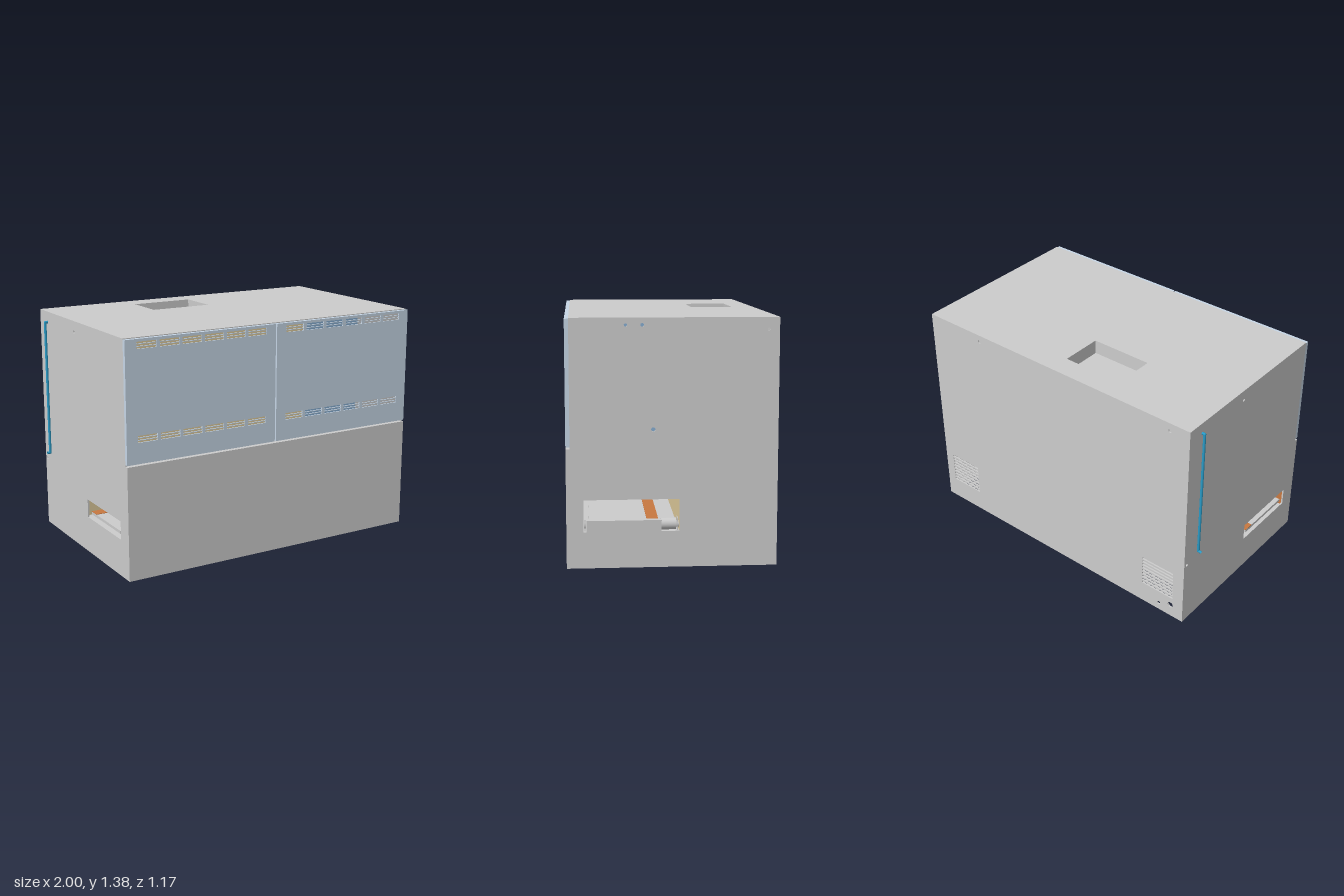
import * as THREE from 'three';

const material = (color) => new THREE.MeshStandardMaterial({ color, side: THREE.DoubleSide });
const grey = material(0xcccccc), blue = material(0xc6d6e6), deepBlue = material(0x85acd0);
const tan = material(0xe0cc9c), orange = material(0xc87840), cyan = material(0x2a9cc8);

// Body limits
const X0 = -0.965, X1 = 0.975, Z0 = -0.585, Z1 = 0.585, H = 1.385, T = 0.01;

function add(parent, name, geometry, mat = grey) {
  const mesh = new THREE.Mesh(geometry, mat);
  mesh.name = name;
  parent.add(mesh);
  return mesh;
}

// Box given by its limits
function box(parent, name, x0, x1, y0, y1, z0, z1, mat) {
  const m = add(parent, name, new THREE.BoxGeometry(x1 - x0, y1 - y0, z1 - z0), mat);
  m.position.set((x0 + x1) / 2, (y0 + y1) / 2, (z0 + z1) / 2);
  return m;
}

const outline = (pts) => new THREE.Shape(pts.map(([x, y]) => new THREE.Vector2(x, y)));
const rect = (x0, x1, y0, y1) => outline([[x0, y0], [x1, y0], [x1, y1], [x0, y1]]);
const hole = (x, y, r) => new THREE.Path().absarc(x, y, r, 0, Math.PI * 2, true);

// Sheet with cut-outs, extruded from its plane
function sheet(parent, name, shape, holes, depth = T, mat = grey) {
  shape.holes.push(...holes);
  return add(parent, name, new THREE.ExtrudeGeometry(shape, { depth, bevelEnabled: false, curveSegments: 10 }), mat);
}

const sideOutline = () => outline([[Z0, 0], [Z1, 0], [Z1, 0.67], [0.562, 0.67], [0.562, H], [Z0, H]]);

function buildCabinet(g) {
  // Side walls: local x runs along z
  const right = sheet(g, 'leftSideWall', sideOutline(), [
    outline([[-0.04, 0.205], [0.06, 0.205], [0.06, 0.27], [0.475, 0.27], [0.475, 0.205],
      [0.49, 0.205], [0.49, 0.385], [-0.04, 0.385]]),
    hole(0.255, 1.345, 0.009), hole(0.165, 1.345, 0.01), hole(0.105, 0.775, 0.012), hole(-0.525, 1.32, 0.008),
  ]);
  right.rotation.y = -Math.PI / 2;
  right.position.x = X1;
  const left = sheet(g, 'rightSideWall', sideOutline(), [
    rect(0.04, 0.485, 0.22, 0.33), hole(-0.08, 1.32, 0.009), hole(-0.56, 0.435, 0.009),
  ]);
  left.rotation.y = -Math.PI / 2;
  left.position.x = X0 + T;

  // Back wall with two louvre fields and cable holes
  const backHoles = [hole(0.578, 1.34, 0.011), hole(-0.833, 1.335, 0.011),
    hole(-0.791, 0.05, 0.012), hole(-0.877, 0.085, 0.019)];
  for (const x of [0.688, -0.89]) {
    for (let i = 0; i < 9; i++) backHoles.push(rect(x, x + 0.226, 0.14 + i * 0.0235, 0.153 + i * 0.0235));
  }
  sheet(g, 'backWall', rect(X0 + T, X1 - T, 0, H), backHoles).position.z = Z0;

  // Top with sunken tray
  const top = sheet(g, 'topPanel', rect(X0 + T, X1 - T, Z0 + T, 0.562), [rect(-0.38, 0.005, -0.45, -0.195)]);
  top.rotation.x = Math.PI / 2;
  top.position.y = H;
  const tray = new THREE.Group();
  tray.name = 'topTray';
  g.add(tray);
  const low = H - 0.085, high = H - 0.001;
  box(tray, 'trayFloor', -0.385, 0.01, low - 0.005, low, -0.455, -0.19);
  for (const x of [-0.385, 0.005]) box(tray, 'trayEnd', x, x + 0.005, low, high, -0.455, -0.19);
  for (const z of [-0.455, -0.195]) box(tray, 'traySide', -0.38, 0.005, low, high, z, z + 0.005);

  // Lower front, its ledge, and the base that stops short of the back
  box(g, 'lowerFrontPanel', X0 + T, X1 - T, 0, 0.67, Z1 - T, Z1);
  box(g, 'frontLedge', X0 + T, X1 - T, 0.66, 0.67, 0.5, Z1 - T);
  box(g, 'basePlate', X0 + T, X1 - T, 0, T, -0.355, Z1 - T);
  const inner = sheet(g, 'rearPartition', rect(X0 + T, X1 - T, T, 1.25), [rect(-0.95, -0.81, 0.08, 0.17)], 0.006);
  inner.position.z = -0.355;
}

function buildDoor(g, name, x0, x1, slotStart, backing) {
  const door = new THREE.Group();
  door.name = name;
  g.add(door);
  const y0 = 0.68, y1 = 1.38, slots = [];
  // Two rows of six groups of three slots
  for (const y of [0.802, 1.325]) {
    for (let c = 0; c < 6; c++) {
      for (let r = 0; r < 3; r++) {
        const x = slotStart + c * 0.142, sy = y + r * 0.0145;
        slots.push(rect(x, x + 0.122, sy, sy + 0.0105));
      }
    }
  }
  sheet(door, name + 'Skin', rect(x0, x1, y0, y1), slots, 0.008, blue).position.z = Z1 - 0.008;
  sheet(door, name + 'Rim', rect(x0, x1, y0, y1), [rect(x0 + 0.01, x1 - 0.01, y0 + 0.01, y1 - 0.01)],
    0.015, blue).position.z = 0.562;
  // Inner liner seen through the slots
  for (const [a, b, mat] of backing) {
    box(door, name + 'Liner', a, b, y0 + 0.01, y1 - 0.01, 0.562, 0.57, mat);
  }
}

function buildTunnel(g) {
  const t = new THREE.Group();
  t.name = 'feedTunnel';
  g.add(t);
  const a = X0 + T, b = X1 - T;
  box(t, 'tunnelCeiling', a, b, 0.386, 0.392, -0.045, 0.495, tan);
  box(t, 'tunnelRearWall', a, b, 0.2, 0.386, -0.045, -0.04, tan);
  box(t, 'tunnelFrontWall', a, b, 0.2, 0.386, 0.49, 0.495, orange);
  box(t, 'tunnelFloor', a, b, 0.195, 0.2, -0.045, 0.495, grey);
  box(t, 'feedBed', a, 0.93, 0.245, 0.262, 0.075, 0.46, grey);
  box(t, 'feedBedStrip', a, 0.93, 0.262, 0.265, 0.075, 0.14, orange);
  // Folded lip outside the opening
  box(t, 'outletLip', X1 - T, 1, 0.268, 0.274, 0.06, 0.472);
  // Roller and its end brackets
  const roller = add(t, 'roller', new THREE.CylinderGeometry(0.033, 0.033, 0.082, 24));
  roller.rotation.x = Math.PI / 2;
  roller.position.set(0.935, 0.238, 0.019);
  for (const z of [-0.031, 0.482]) {
    const pin = add(t, 'rollerPin', new THREE.CylinderGeometry(0.02, 0.02, 0.012, 16));
    pin.rotation.x = Math.PI / 2;
    pin.position.set(0.94, 0.238, z);
    box(t, 'rollerBracket', 0.9, 0.96, 0.205, 0.272, z - 0.002, z + 0.002);
  }
}

export function createModel() {
  const g = new THREE.Group();
  g.name = 'cabinet';
  buildCabinet(g);
  buildDoor(g, 'rightDoor', X0, 0.002, -0.895, [[X0 + 0.01, -0.008, tan]]);
  buildDoor(g, 'leftDoor', 0.01, X1, 0.075,
    [[0.02, 0.2, tan], [0.2, 0.6, deepBlue], [0.6, X1 - 0.01, grey]]);
  buildTunnel(g);

  // Housing behind the left door
  box(g, 'innerHousing', 0.15, 0.6, 0.7, 1.37, 0.05, 0.5, deepBlue);

  // Slim pipe on the side wall, turned in at the top and out at the foot
  const path = new THREE.CurvePath();
  const pts = [[-0.958, 1.32], [-0.981, 1.32], [-0.981, 0.493], [-1, 0.493]]
    .map(([x, y]) => new THREE.Vector3(x, y, -0.475));
  for (let i = 0; i < 3; i++) path.add(new THREE.LineCurve3(pts[i], pts[i + 1]));
  path.curves.forEach((c) => add(g, 'sidePipe', new THREE.TubeGeometry(c, 1, 0.008, 12), cyan));
  for (const p of pts.slice(1, 3)) add(g, 'pipeElbow', new THREE.SphereGeometry(0.008, 12, 8), cyan).position.copy(p);
  return g;
}
